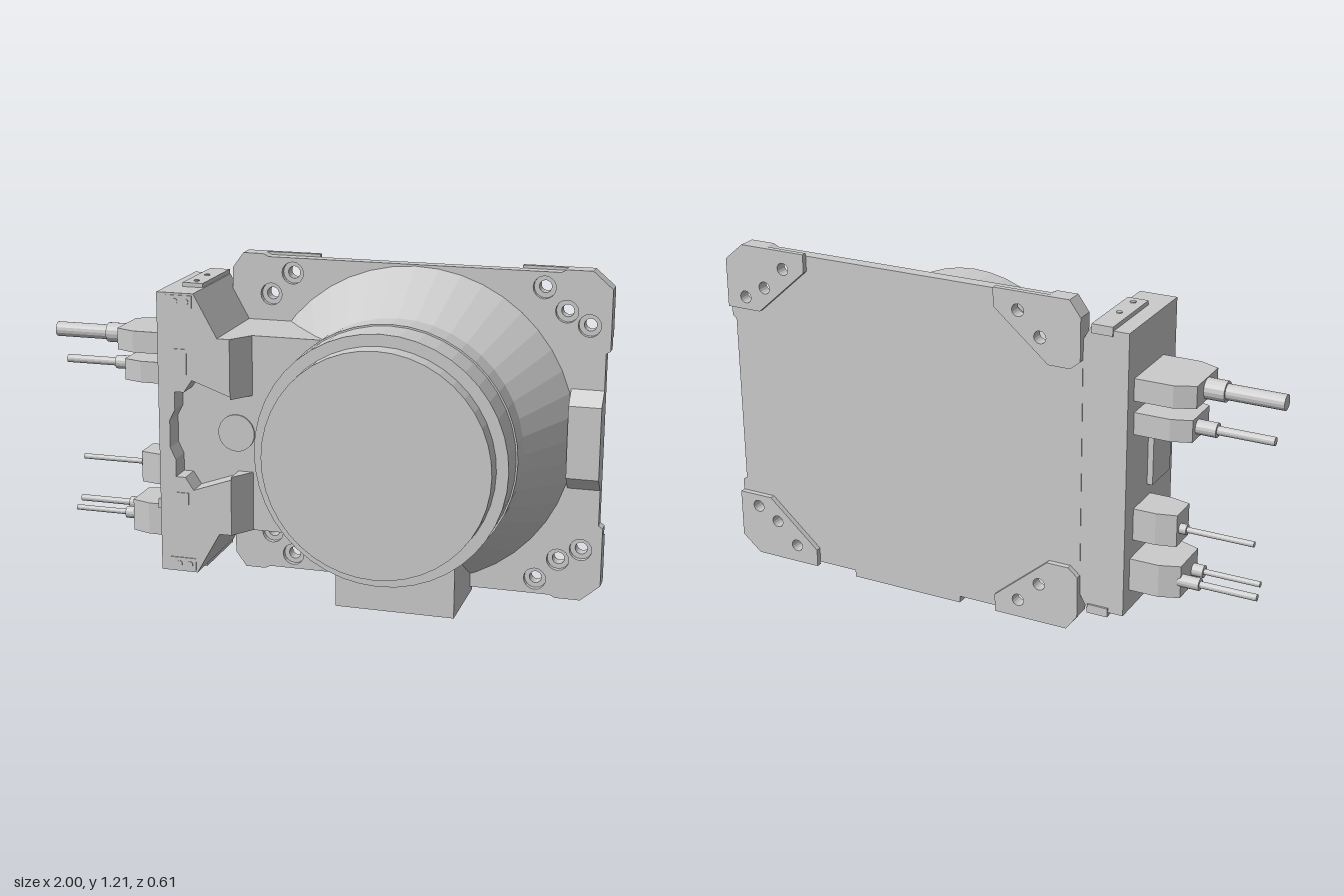
import * as THREE from 'three';

const CX = 0.31, CY = 0.61; // drum axis
const material = new THREE.MeshStandardMaterial({ color: 0xcccccc, flatShading: true });

function add(group, name, geometry) {
  const mesh = new THREE.Mesh(geometry, material);
  mesh.name = name;
  group.add(mesh);
  return mesh;
}

function box(group, name, x0, x1, y0, y1, z0, z1) {
  add(group, name, new THREE.BoxGeometry(x1 - x0, y1 - y0, z1 - z0))
    .position.set((x0 + x1) / 2, (y0 + y1) / 2, (z0 + z1) / 2);
}

const outline = pts => new THREE.Shape(pts.map(p => new THREE.Vector2(...p)));
const flipY = pts => pts.map(([x, y]) => [x, 2 * CY - y]).reverse();
const solid = (shape, depth) =>
  new THREE.ExtrudeGeometry(shape, { depth, bevelEnabled: false, curveSegments: 8 });

// Front outline extruded along z, with optional round holes
function slab(group, name, pts, z0, z1, holes = [], r = 0) {
  const shape = outline(pts);
  for (const [x, y] of holes) shape.holes.push(new THREE.Path().absarc(x, y, r, 0, Math.PI * 2, true));
  add(group, name, solid(shape, z1 - z0).translate(0, 0, z0));
}

// Plan outline (x, z) extruded along y
function prismY(group, name, pts, y0, y1) {
  add(group, name, solid(outline(pts), y1 - y0).rotateX(Math.PI / 2).translate(0, y1, 0));
}

// Cylinder along x
function rod(group, name, x0, x1, y, z, r) {
  add(group, name, new THREE.CylinderGeometry(r, r, x1 - x0, 16).rotateZ(Math.PI / 2))
    .position.set((x0 + x1) / 2, y, z);
}

// Cylinder along z
function disc(group, name, x, y, z0, z1, r) {
  add(group, name, new THREE.CylinderGeometry(r, r, z1 - z0, 24).rotateX(Math.PI / 2))
    .position.set(x, y, (z0 + z1) / 2);
}

export function createModel() {
  const model = new THREE.Group();

  // Mounting plate with counterbored corner holes
  const holesRight = [[0.765, 1.14], [0.845, 1.06], [0.925, 1.015]];
  const holesLeft = [[-0.14, 1.14], [-0.22, 1.06]];
  const topHoles = [...holesRight, ...holesLeft];
  const holes = [...topHoles, ...flipY(topHoles)];
  const topEdge = [
    [0.985, 0.92], [1, 0.93], [1, 1.145], [0.93, 1.205], [0.84, 1.205], [0.82, 1.195],
    [-0.23, 1.195], [-0.25, 1.205], [-0.325, 1.205], [-0.365, 1.15],
  ];
  const plate = [...topEdge, ...flipY(topEdge)];
  slab(model, 'mountingPlateFront', plate, -0.255, -0.235, holes, 0.04);
  slab(model, 'mountingPlateBack', plate, -0.28, -0.255, holes, 0.022);

  // Raised pads on the back of the plate corners
  const padRight = [[1, 0.97], [1, 1.145], [0.93, 1.205], [0.68, 1.205], [0.68, 1.14], [0.87, 0.97]];
  const padLeft = [[-0.365, 1.0], [-0.33, 0.97], [-0.25, 0.97], [-0.05, 1.14], [-0.05, 1.205],
    [-0.325, 1.205], [-0.365, 1.15]];
  for (const [pts, h] of [[padRight, holesRight], [padLeft, holesLeft]]) {
    slab(model, 'cornerPadTop', pts, -0.3, -0.28, h, 0.022);
    slab(model, 'cornerPadBottom', flipY(pts), -0.3, -0.28, flipY(h), 0.022);
  }

  // Stepped drum flaring into a cone at the plate
  const profile = [
    [0, -0.24], [0.582, -0.24], [0.445, 0.015], [0.445, 0.115], [0.439, 0.115], [0.439, 0.245],
    [0.398, 0.245], [0.395, 0.305], [0, 0.305],
  ].map(p => new THREE.Vector2(...p));
  add(model, 'drum', new THREE.LatheGeometry(profile, 44).rotateX(Math.PI / 2)).position.set(CX, CY, 0);
  slab(model, 'drumKey', [[0.25, 0.18], [0.25, 0.16], [0.29, 0.13], [0.33, 0.13], [0.37, 0.16], [0.37, 0.18]],
    0.03, 0.115);

  // Foot under the drum
  box(model, 'foot', 0.1, 0.53, 0, 0.216, -0.28, 0.03);

  // Chamfered lug on the right edge of the plate
  const lug = outline([[0.235, 0.43], [0.235, 0.79], [0.185, 0.74], [0.185, 0.48]]);
  add(model, 'sideLug', solid(lug, 0.115).rotateY(Math.PI / 2).translate(0.87, 0, 0));

  // Connector block: base, bridge to the drum and front cover
  const upper = [[-0.305, 0.965], [-0.39, 1.117], [-0.525, 1.117]];
  slab(model, 'connectorBlock', [...upper, ...flipY(upper)], -0.278, 0.03);
  box(model, 'bridge', -0.306, 0.045, 0.255, 0.965, -0.26, 0.03);

  const notch = [[-0.26, 0.76], [-0.4, 0.81], [-0.43, 0.765], [-0.465, 0.765], [-0.465, 0.7], [-0.485, 0.66]];
  const cover = [[-0.26, 0.965], ...upper];
  slab(model, 'frontCover', [...cover, ...flipY(cover), ...flipY(notch).reverse(), ...notch.slice().reverse()]
    .filter((p, i, a) => i === 0 || p !== a[i - 1]), 0.03, 0.113);
  for (const [y0, y1] of [[0.75, 0.965], [0.255, 0.47]])
    prismY(model, 'coverSlope', [[-0.26, 0.02], [-0.205, 0.02], [-0.205, 0.03], [-0.26, 0.113]], y0, y1);
  disc(model, 'recessBoss', -0.265, CY, 0.02, 0.036, 0.067);
  box(model, 'upperLabelPad', -0.462, -0.418, 0.825, 0.92, 0.1, 0.117);
  box(model, 'lowerLabelPad', -0.462, -0.418, 0.355, 0.398, 0.1, 0.117);

  // Fixing tabs and strips at the block ends
  for (const s of [1, -1]) {
    const span = (a, b) => [CY + s * a, CY + s * b].sort((p, q) => p - q);
    box(model, 'endStrip', -0.47, -0.395, ...span(0.49, 0.522), -0.285, 0.0);
    box(model, 'frontTab', -0.49, -0.395, ...span(0.455, 0.5), 0.1, 0.117);
    for (const x of [-0.457, -0.417]) disc(model, 'tabScrew', x, CY + s * 0.478, 0.11, 0.12, 0.011);
    for (const z of [-0.15, -0.04])
      add(model, 'stripScrew', new THREE.CylinderGeometry(0.01, 0.01, 0.006, 12))
        .position.set(-0.432, CY + s * 0.523, z);
  }
  box(model, 'sideSocket', -0.545, -0.52, 0.52, 0.715, -0.1, 0.05);
  box(model, 'sideClip', -0.56, -0.52, 0.31, 0.345, 0.02, 0.05);

  // Plugs: tapered housing, collar and cable
  const plugs = [
    { x: -0.73, y0: 0.87, y1: 0.948, z: -0.11, w: 0.12, cables: [[-0.8, -1, 0.91, -0.11, 0.036, 0.027]] },
    { x: -0.72, y0: 0.75, y1: 0.828, z: -0.13, w: 0.095, cables: [[-0.79, -0.985, 0.79, -0.155, 0.025, 0.015]] },
    { x: -0.675, y0: 0.36, y1: 0.475, z: -0.14, w: 0.07, cables: [[-0.7, -0.935, 0.415, -0.16, 0.018, 0.01]] },
    { x: -0.7, y0: 0.18, y1: 0.298, z: -0.13, w: 0.1,
      cables: [[-0.765, -0.965, 0.24, -0.19, 0.022, 0.012], [-0.74, -0.94, 0.235, -0.09, 0.022, 0.01]] },
  ];
  for (const { x, y0, y1, z, w, cables } of plugs) {
    const tip = w * 0.75, shoulder = x + 0.07;
    prismY(model, 'plugHousing', [[x, z - tip], [shoulder, z - w], [-0.52, z - w],
      [-0.52, z + w], [shoulder, z + w], [x, z + tip]], y0, y1);
    for (const [collarEnd, end, y, cz, rc, r] of cables) {
      rod(model, 'cableCollar', collarEnd, x + 0.01, y, cz, rc);
      rod(model, 'cable', end, collarEnd + 0.01, y, cz, r);
    }
  }
  return model;
}
